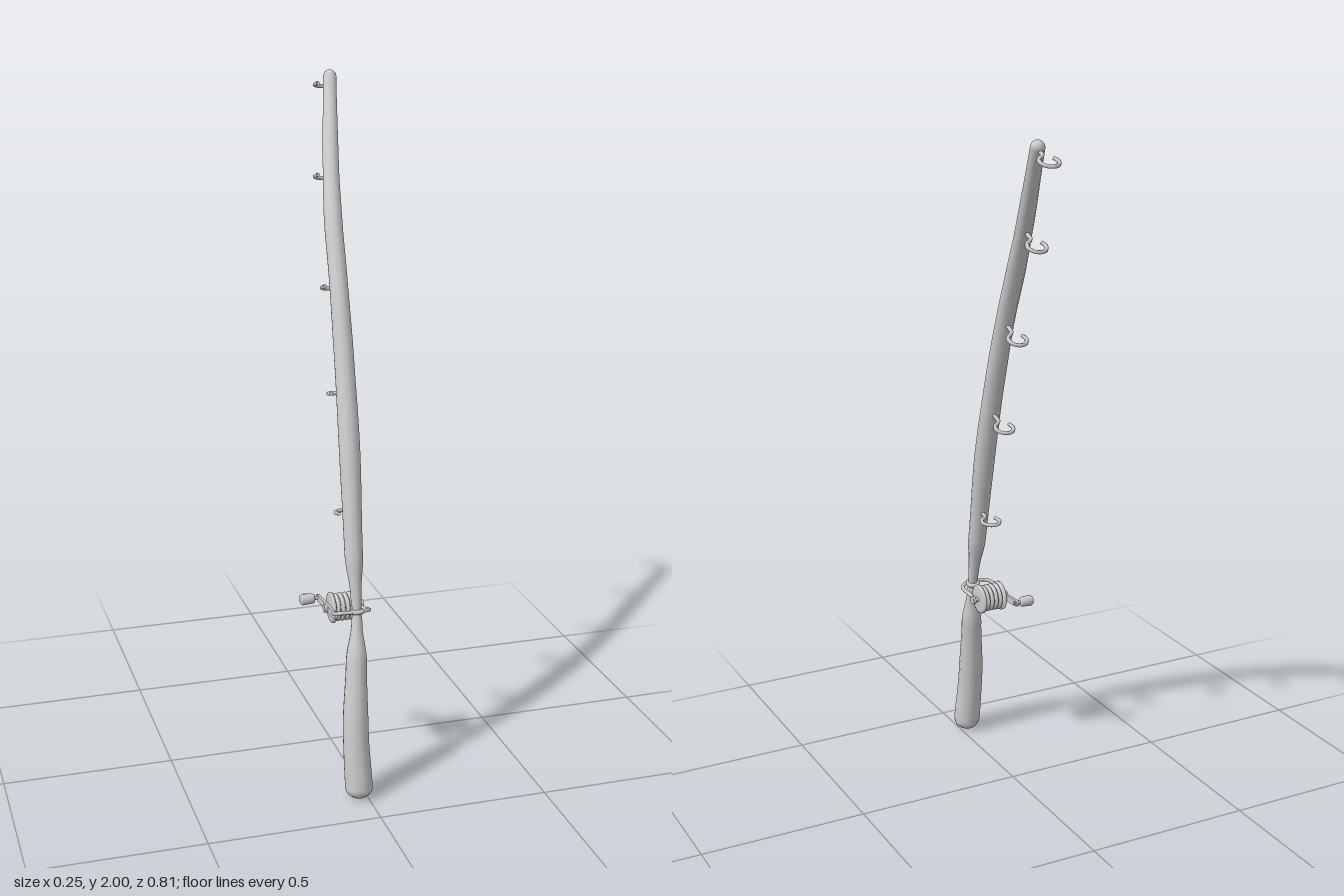
import * as THREE from 'three';
import { mergeVertices } from 'three/addons/utils/BufferGeometryUtils.js';

const grey = new THREE.MeshStandardMaterial({ color: 0xcccccc, side: THREE.DoubleSide });
const V = (x, y, z) => new THREE.Vector3(x, y, z);

function add(parent, name, geometry, x = 0, y = 0, z = 0) {
  const mesh = new THREE.Mesh(geometry, grey);
  mesh.name = name;
  mesh.position.set(x, y, z);
  parent.add(mesh);
  return mesh;
}

// Bent round bar through stations [x, y, z, radius], radius eased by height
function taperedBar(stations, segments) {
  const curve = new THREE.CatmullRomCurve3(stations.map(([x, y, z]) => V(x, y, z)));
  const radiusAt = (y) => {
    let i = 0;
    while (i < stations.length - 2 && y > stations[i + 1][1]) i++;
    const a = stations[i], b = stations[i + 1];
    const t = THREE.MathUtils.smoothstep(y, a[1], b[1]);
    return THREE.MathUtils.lerp(a[3], b[3], t);
  };
  const sides = 12;
  let geo = new THREE.TubeGeometry(curve, segments, 1, sides);
  const pos = geo.attributes.position, v = V(0, 0, 0);
  for (let i = 0; i < pos.count; i++) {
    const p = curve.getPointAt(Math.floor(i / (sides + 1)) / segments);
    v.fromBufferAttribute(pos, i).sub(p).multiplyScalar(radiusAt(p.y)).add(p);
    pos.setXYZ(i, v.x, v.y, v.z);
  }
  geo.deleteAttribute('uv');
  geo.deleteAttribute('normal');
  geo = mergeVertices(geo, 1e-5);
  geo.computeVertexNormals();
  return geo;
}

const wire = (points, r, segments = 24, closed = false) =>
  new THREE.TubeGeometry(new THREE.CatmullRomCurve3(points, closed), segments, r, 6, closed);

// Straight cylinder lying along x
const axle = (r, length, sides = 12) =>
  new THREE.CylinderGeometry(r, r, length, sides).rotateZ(Math.PI / 2);

// Line guide: short stem running back from the rod into an open ring
function guideGeometry() {
  const R = 0.027, centre = 0.06;
  const pts = [V(0, 0, 0.012), V(0, 0, -0.01), V(0.001, 0, -0.024)];
  for (let i = 0; i <= 12; i++) {
    const a = THREE.MathUtils.degToRad(-65 + (280 * i) / 12);
    pts.push(V(R * Math.cos(a), 0, -centre - R * Math.sin(a)));
  }
  return wire(pts, 0.006, 40);
}

function buildReel() {
  const reel = new THREE.Group();
  reel.name = 'reel';
  const y = 0.524, z = 0.193;

  // Spool: two flanges with ridges of wound line between them
  const profile = [[0, -0.04], [0.038, -0.04], [0.045, -0.037], [0.045, -0.031], [0.034, -0.028]];
  for (let i = 0; i < 4; i++) {
    const c = -0.021 + i * 0.014;
    profile.push([0.035, c - 0.006], [0.041, c - 0.003], [0.041, c + 0.003], [0.035, c + 0.006]);
  }
  profile.push([0.034, 0.028], [0.045, 0.031], [0.045, 0.037], [0.038, 0.04], [0, 0.04]);
  const spool = new THREE.LatheGeometry(profile.map(([r, h]) => new THREE.Vector2(r, h)), 20);
  add(reel, 'spool', spool.rotateZ(-Math.PI / 2), -0.02, y, z);

  // Axle with a nut at each end
  add(reel, 'axle', axle(0.007, 0.117), -0.0185, y, z);
  for (const x of [-0.073, 0.036]) add(reel, 'axleNut', axle(0.013, 0.009, 8), x, y, z);

  // Crank arm with rounded ends, and its grip
  const arm = new THREE.Group();
  arm.name = 'crank';
  arm.position.set(-0.065, y, z);
  arm.rotation.y = 0.06;
  reel.add(arm);
  add(arm, 'crankArm', new THREE.BoxGeometry(0.008, 0.02, 0.145), 0, 0, -0.01);
  for (const end of [-0.082, 0.062]) add(arm, 'crankEnd', axle(0.01, 0.008), 0, 0, end);
  add(reel, 'gripPin', axle(0.006, 0.03, 8), -0.077, y, 0.113);
  const grip = [[0, -0.022], [0.013, -0.022], [0.017, -0.017], [0.015, 0.014], [0.011, 0.02], [0, 0.02]]
    .map(([r, h]) => new THREE.Vector2(r, h));
  add(reel, 'grip', new THREE.LatheGeometry(grip, 12).rotateZ(-Math.PI / 2), -0.103, y, 0.113);

  // Wire bracket from the rod to both ends of the spool
  for (const side of [1, -1]) {
    const x = (d) => -0.016 + side * d;
    const path = [V(-0.004, 0.545, 0.293), V(x(0.036), 0.543, 0.284), V(x(0.052), 0.537, 0.267),
      V(x(0.046), 0.53, 0.24), V(x(0.046), y, z)];
    add(reel, 'bracket', wire(path, 0.006));
  }
  // Clamp ring around the rod
  const clamp = add(reel, 'clampRing', new THREE.TorusGeometry(0.016, 0.007, 8, 16), -0.005, 0.542, 0.281);
  clamp.rotation.x = Math.PI / 2 - 0.2;
  return reel;
}

export function createModel() {
  const model = new THREE.Group();
  model.name = 'fishingRod';

  // Handle with rounded butt
  add(model, 'handle', taperedBar([
    [-0.024, 0.034, 0.369, 0.041], [-0.027, 0.2, 0.346, 0.038], [-0.015, 0.4, 0.311, 0.031],
    [-0.007, 0.51, 0.288, 0.016], [-0.005, 0.55, 0.28, 0.013],
  ], 28));
  add(model, 'handleButt', new THREE.SphereGeometry(0.041, 12, 10), -0.024, 0.034, 0.369)
    .scale.y = 0.83;

  // Curved blank with rounded tip
  add(model, 'blank', taperedBar([
    [-0.005, 0.53, 0.284, 0.013], [-0.005, 0.6, 0.27, 0.017], [-0.004, 0.7, 0.246, 0.027],
    [0.006, 1.0, 0.168, 0.031], [0.014, 1.25, 0.085, 0.029], [0.022, 1.46, 0.0, 0.027],
    [0.03, 1.6, -0.073, 0.027], [0.05, 1.75, -0.165, 0.024], [0.09, 1.98, -0.31, 0.02],
  ], 60));
  add(model, 'tip', new THREE.SphereGeometry(0.02, 12, 10), 0.09, 1.98, -0.31);

  // Line guides down the back: root x, y, z and downward pitch in degrees
  const guide = guideGeometry();
  for (const [x, y, z, pitch] of [
    [0.09, 1.972, -0.315, 20], [0.05, 1.728, -0.178, 24], [0.024, 1.432, -0.018, 23],
    [0.012, 1.138, 0.088, 18], [0.002, 0.802, 0.2, 8],
  ]) add(model, 'lineGuide', guide, x, y, z).rotation.x = -THREE.MathUtils.degToRad(pitch);

  model.add(buildReel());
  return model;
}
